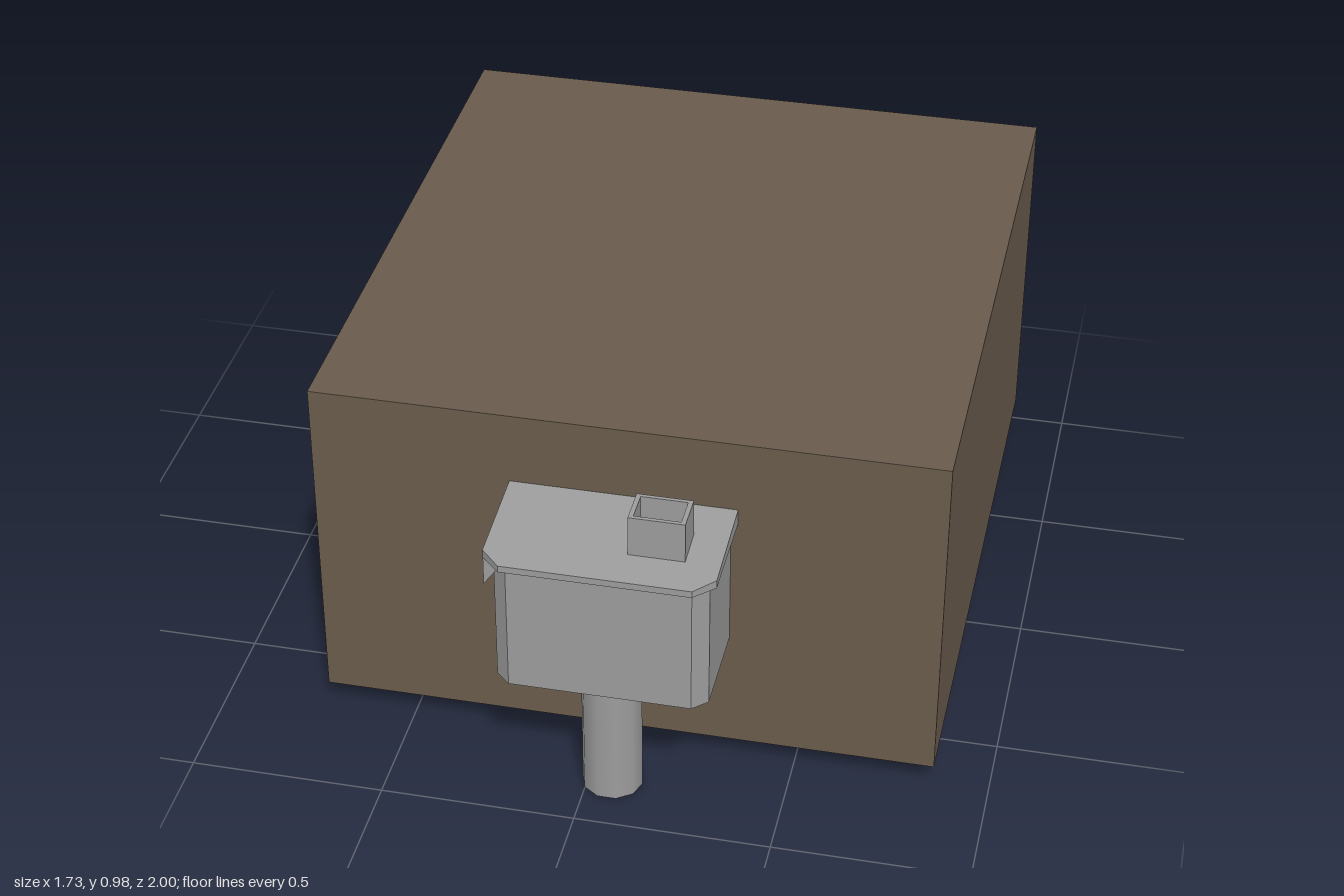
import * as THREE from 'three';

const brown = new THREE.MeshStandardMaterial({ color: 0x6a5c4d });
brown.name = 'wallBrown';
const tan = new THREE.MeshStandardMaterial({ color: 0x978572 });
tan.name = 'sillTan';
const grey = new THREE.MeshStandardMaterial({ color: 0x9d9d9d });
grey.name = 'metalGrey';

function add(parent, name, geometry, material) {
  const mesh = new THREE.Mesh(geometry, material);
  mesh.name = name;
  parent.add(mesh);
  return mesh;
}

// Box given by its lower and upper limits on each axis
function span(parent, name, material, [x0, x1], [y0, y1], [z0, z1]) {
  const mesh = add(parent, name, new THREE.BoxGeometry(x1 - x0, y1 - y0, z1 - z0), material);
  mesh.position.set((x0 + x1) / 2, (y0 + y1) / 2, (z0 + z1) / 2);
  return mesh;
}

function rectangle(Type, x0, y0, x1, y1) {
  const path = new Type();
  path.moveTo(x0, y0).lineTo(x1, y0).lineTo(x1, y1).lineTo(x0, y1).closePath();
  return path;
}

// Upright prism with a rectangular plan whose two front corners are cut off
function cutCornerPrism(x0, x1, z0, z1, cutX, cutZ, bottom, top) {
  const plan = new THREE.Shape([
    [x0, z0], [x1, z0], [x1, z1 - cutZ], [x1 - cutX, z1], [x0 + cutX, z1], [x0, z1 - cutZ],
  ].map(([x, z]) => new THREE.Vector2(x, z)));
  const geometry = new THREE.ExtrudeGeometry(plan, { depth: top - bottom, bevelEnabled: false });
  return geometry.rotateX(Math.PI / 2).translate(0, top, 0);
}

function createBuilding() {
  const building = new THREE.Group();
  building.name = 'building';
  const recess = 0.06, face = -0.73, inner = face + recess;

  // Solid block, faced on one side by a wall with window and door openings
  span(building, 'mainBlock', brown, [inner, 0.86], [0.065, 0.98], [-1, 0.69]);
  const outline = rectangle(THREE.Shape, -1, 0.065, 0.69, 0.98);
  outline.holes.push(rectangle(THREE.Path, -0.97, 0.44, -0.08, 0.8));
  outline.holes.push(rectangle(THREE.Path, 0.22, 0.1, 0.545, 0.8));
  const wall = new THREE.ExtrudeGeometry(outline, { depth: recess, bevelEnabled: false });
  add(building, 'sideWall', wall.rotateY(-Math.PI / 2).translate(inner, 0, 0), brown);

  // Counter shelf running through the window, and the door sill
  span(building, 'counterShelf', tan, [-0.865, inner], [0.43, 0.457], [-0.97, -0.08]);
  span(building, 'doorSill', tan, [face, inner], [0.1, 0.108], [0.22, 0.545]);

  // Tilted shutter slats in the window
  for (let i = 0; i < 4; i++) {
    const slat = add(building, 'shutterSlat', new THREE.BoxGeometry(0.012, 0.092, 0.885), grey);
    slat.position.set(inner - 0.027, 0.5 + i * 0.086, -0.525);
    slat.rotation.z = -0.42;
  }

  // Folding door made of angled upright panels
  for (let i = 0; i < 5; i++) {
    const panel = add(building, 'doorPanel', new THREE.BoxGeometry(0.012, 0.69, 0.07), brown);
    panel.position.set(inner - 0.024, 0.453, 0.2525 + i * 0.065);
    panel.rotation.y = 0.4;
  }
  return building;
}

function createKiosk() {
  const kiosk = new THREE.Group();
  kiosk.name = 'raisedBox';

  // Ten-sided post
  const post = new THREE.CylinderGeometry(0.0775, 0.0775, 0.4, 10, 1, false, Math.PI / 2);
  const postMesh = add(kiosk, 'post', post, grey);
  postMesh.scale.z = 0.95;
  postMesh.position.set(0.062, 0.2, 0.835);

  add(kiosk, 'boxBody', cutCornerPrism(-0.2, 0.33, 0.68, 0.98, 0.037, 0.035, 0.39, 0.75), grey);

  // Roof slab whose top rises towards the building
  const roof = cutCornerPrism(-0.225, 0.347, 0.68, 1, 0.05, 0.05, 0.745, 0.763);
  const p = roof.attributes.position;
  for (let i = 0; i < p.count; i++) {
    if (p.getY(i) > 0.755) p.setY(i, 0.763 + (1 - p.getZ(i)) * 0.08);
  }
  roof.computeVertexNormals();
  add(kiosk, 'roof', roof, grey);

  // Small slanted bracket under one eave
  const side = new THREE.Shape();
  side.moveTo(-0.225, 0.665).lineTo(-0.165, 0.75).lineTo(-0.225, 0.75).closePath();
  const bracket = new THREE.ExtrudeGeometry(side, { depth: 0.07, bevelEnabled: false });
  add(kiosk, 'eaveBracket', bracket.translate(0, 0, 0.88), grey);

  // Open chimney with a recessed floor
  const opening = rectangle(THREE.Shape, 0.12, 0.8, 0.26, 0.9);
  opening.holes.push(rectangle(THREE.Path, 0.132, 0.81, 0.248, 0.89));
  const chimney = new THREE.ExtrudeGeometry(opening, { depth: 0.125, bevelEnabled: false });
  add(kiosk, 'chimney', chimney.rotateX(Math.PI / 2).translate(0, 0.88, 0), grey);
  span(kiosk, 'chimneyFloor', tan, [0.132, 0.248], [0.8, 0.808], [0.81, 0.89]);
  return kiosk;
}

export function createModel() {
  const model = new THREE.Group();
  model.name = 'buildingWithRaisedBox';
  model.add(createBuilding(), createKiosk());
  return model;
}
